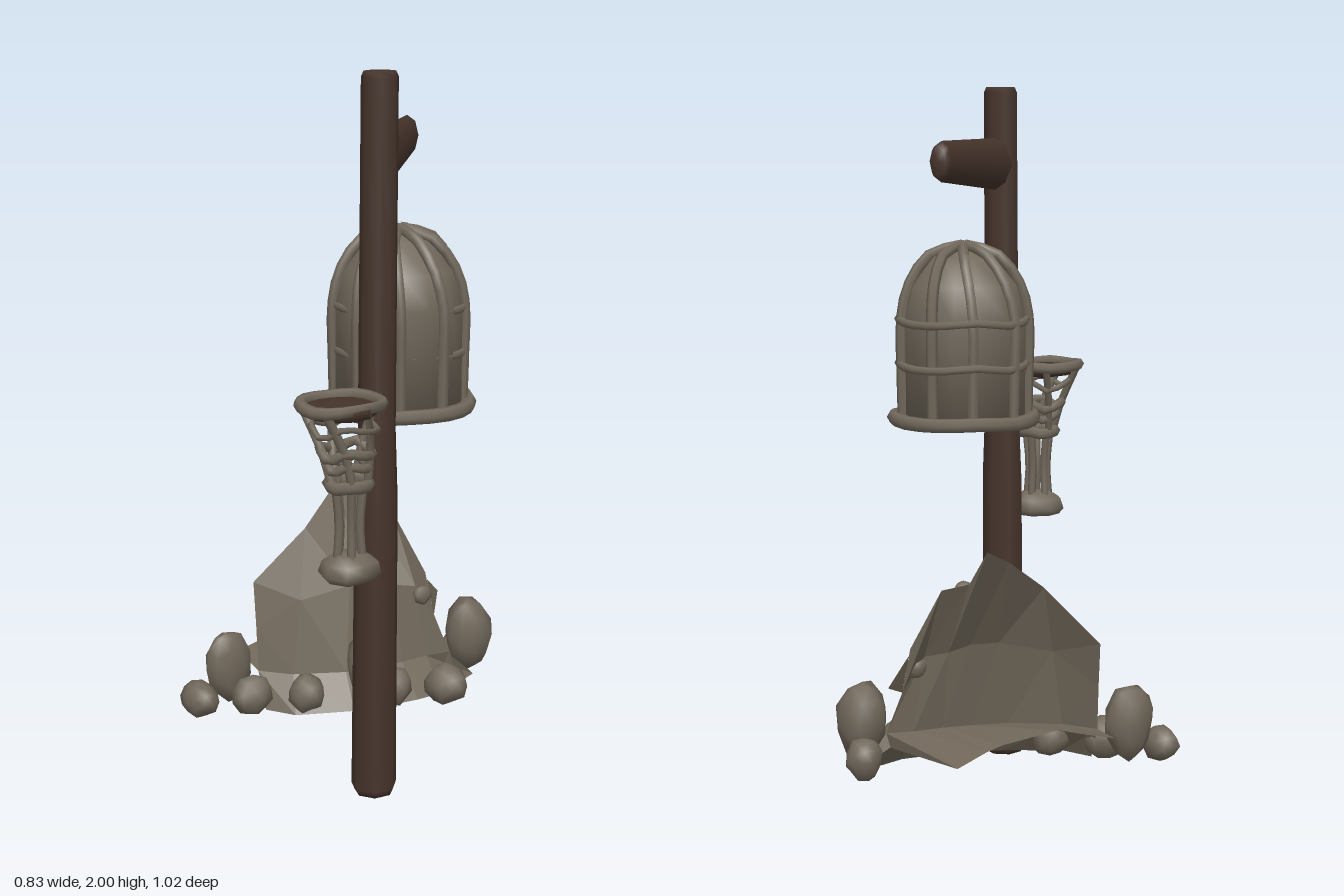
import * as THREE from 'three';
import { mergeVertices } from 'three/addons/utils/BufferGeometryUtils.js';

const V = (x, y, z) => new THREE.Vector3(x, y, z);

export function createModel() {
  const model = new THREE.Group();
  const stone = new THREE.MeshStandardMaterial({ color: 0x71685b });
  const stoneSheet = new THREE.MeshStandardMaterial({ color: 0x71685a, side: THREE.DoubleSide, flatShading: true });
  const wood = new THREE.MeshStandardMaterial({ color: 0x46342b });

  const add = (parent, name, geometry, material) => {
    const mesh = new THREE.Mesh(geometry, material);
    mesh.name = name;
    parent.add(mesh);
    return mesh;
  };
  const group = (name) => {
    const g = new THREE.Group();
    g.name = name;
    model.add(g);
    return g;
  };
  const lathe = (pts, sides) => new THREE.LatheGeometry(pts.map((p) => new THREE.Vector2(p[0], p[1])), sides);
  const tube = (pts, r, closed = false, steps = 10) =>
    new THREE.TubeGeometry(new THREE.CatmullRomCurve3(pts, closed), steps, r, 6, closed);
  // Slightly wobbly ring of points
  const ring = (cx, y, cz, r, wobble, n = 9) => Array.from({ length: n }, (_, i) => {
    const a = (i / n) * Math.PI * 2;
    return V(cx + Math.cos(a) * r, y + Math.sin(i * 2.3) * wobble, cz + Math.sin(a) * r);
  });

  // Leaning wooden post
  const postGeo = lathe([[0, 0], [0.055, 0], [0.064, 0.02], [0.06, 0.85], [0.052, 1.05],
    [0.05, 1.985], [0.043, 2], [0, 2]], 7);
  const pp = postGeo.attributes.position;
  for (let i = 0; i < pp.count; i++) pp.setX(i, pp.getX(i) + 0.011 * pp.getY(i));
  const post = add(model, 'post', postGeo, wood);
  post.position.set(0.243, 0, 0.193);

  // Arm tapering away from the post
  const armStart = V(0.262, 1.777, 0.19), armEnd = V(-0.04, 1.787, -0.185);
  const armDir = armStart.clone().sub(armEnd);
  const length = armDir.length();
  const armGeo = lathe([[0, 0], [0.042, 0], [0.056, 0.025], [0.076, length - 0.02], [0.06, length], [0, length]], 8);
  armGeo.scale(0.58, 1, 1);
  armGeo.rotateX(Math.PI / 2);
  const arm = add(model, 'arm', armGeo, wood);
  arm.position.copy(armEnd);
  arm.lookAt(armStart);

  // Domed cage: solid core, ribs, hoops and rim
  const cage = group('cage');
  cage.position.set(0.088, 0, -0.033);
  add(cage, 'cageCore', lathe([[0, 1.055], [0.18, 1.055], [0.18, 1.35], [0.155, 1.44], [0.09, 1.52], [0, 1.55]], 14), stone);
  for (let i = 0; i < 9; i++) {
    const a = (i / 9) * Math.PI * 2 + 0.12 * Math.sin(i * 3.1);
    const at = (r, y, twist = 0) => V(Math.cos(a + twist) * r, y, Math.sin(a + twist) * r);
    add(cage, 'cageRib', tube([at(0.18, 1.06), at(0.183, 1.2), at(0.183, 1.35), at(0.158, 1.445, 0.05),
      at(0.095, 1.527, 0.15), at(0.005, 1.552, 0.3)], 0.016, false, 12), stone);
  }
  add(cage, 'cageRim', tube(ring(0, 1.062, 0, 0.2, 0.003, 11), 0.021, true, 22), stone);
  for (const y of [1.215, 1.34]) {
    add(cage, 'cageHoop', tube(ring(-0.012, y, -0.012, 0.181, 0.006, 11), 0.012, true, 24), stone);
  }

  // Openwork cup on a stem, cut flat on its left side
  const cup = group('cup');
  const cutX = 0.415, cx = 0.355, cz = 0.38;
  const cut = (geo) => {
    const p = geo.attributes.position;
    for (let i = 0; i < p.count; i++) p.setX(i, Math.min(p.getX(i), cutX));
    return geo;
  };
  const cupPart = (name, geo, mat = stone) => add(cup, name, cut(geo), mat);
  cupPart('cupFoot', lathe([[0, 0.7], [0.07, 0.702], [0.085, 0.72], [0.075, 0.75], [0.04, 0.772], [0, 0.772]], 8)
    .translate(cx + 0.005, 0, cz));
  cupPart('cupCollar', tube(ring(cx, 0.96, cz, 0.052, 0.004), 0.018, true, 14));
  cupPart('cupRim', tube(ring(0.335, 1.168, 0.386, 0.108, 0.003), 0.017, true, 18));
  cupPart('cupBand', tube(ring(0.345, 1.045, cz, 0.068, 0.014), 0.014, true, 16));
  cupPart('cupLowerBand', tube(ring(0.35, 1.01, cz, 0.056, 0.012), 0.013, true, 16));
  cupPart('cupUpperBand', tube(ring(0.34, 1.11, 0.383, 0.087, 0.018), 0.009, true, 16));
  cupPart('cupFill', lathe([[0, 1.125], [0.09, 1.14], [0.1, 1.165], [0, 1.16]], 10).translate(0.335, 0, 0.386), wood);
  for (let i = 0; i < 5; i++) {
    const a = (i / 5) * Math.PI * 2 + 0.5;
    const at = (x, y, z, r, t = 0) => V(x + Math.cos(a + t) * r, y, z + Math.sin(a + t) * r);
    cupPart('stemBar', tube([at(cx, 0.75, cz, 0.036), at(cx, 0.85, cz, 0.029), at(cx, 0.97, cz, 0.04)], 0.012, false, 5));
    cupPart('bowlRib', tube([at(cx, 0.96, cz, 0.05), at(0.345, 1.05, cz, 0.066, 0.25), at(0.335, 1.165, 0.386, 0.105, 0.6)],
      0.012, false, 6));
  }

  // Broken curved slab: each column lists skirt, foot, middle, top and back wing points
  const columns = [
    [[-0.22, 0.1, 0.21], [-0.28, 0.2, 0.19], [-0.30, 0.33, 0.18], [-0.33, 0.46, 0.165], [-0.42, 0.215, 0.155]],
    [[-0.13, 0.1, 0.17], [-0.19, 0.2, 0.13], [-0.20, 0.42, 0.09], [-0.25, 0.62, 0.03], [-0.41, 0.235, 0.07]],
    [[-0.04, 0.1, 0.02], [-0.10, 0.2, 0.0], [-0.14, 0.45, -0.05], [-0.28, 0.71, -0.10], [-0.39, 0.255, -0.01]],
    [[0.0, 0.1, -0.1], [-0.07, 0.2, -0.1], [-0.12, 0.45, -0.13], [-0.30, 0.75, -0.18], [-0.28, 0.2, -0.12]],
    [[0.02, 0.1, -0.18], [-0.05, 0.2, -0.18], [-0.10, 0.43, -0.19], [-0.21, 0.645, -0.185], [-0.28, 0.19, -0.165]],
    [[0.03, 0.1, -0.27], [-0.04, 0.2, -0.27], [-0.07, 0.42, -0.25], [-0.18, 0.63, -0.255], [-0.32, 0.17, -0.285]],
    [[-0.02, 0.1, -0.45], [-0.02, 0.2, -0.345], [-0.05, 0.32, -0.31], [-0.08, 0.45, -0.30], [0.0, 0.16, -0.345]],
  ];
  const strip = (name, rows) => {
    const index = [], n = rows.length;
    for (let c = 0; c < columns.length - 1; c++) {
      for (let r = 0; r < n - 1; r++) {
        const a = c * n + r, b = a + n;
        index.push(a, b, a + 1, b, b + 1, a + 1);
      }
    }
    const geo = new THREE.BufferGeometry().setFromPoints(columns.flatMap((c) => rows.map((r) => V(...c[r]))));
    geo.setIndex(index);
    geo.computeVertexNormals();
    add(slab, name, geo, stoneSheet);
  };
  const slab = group('slab');
  strip('slabFace', [0, 1, 2, 3]);
  strip('slabBackWing', [1, 4]);
  const spike = new THREE.BufferGeometry().setFromPoints([V(-0.05, 0.32, -0.31), V(-0.12, 0.36, -0.39), V(-0.075, 0.43, -0.302)]);
  spike.computeVertexNormals();
  add(slab, 'slabSpike', spike, stoneSheet);

  // Rounded irregular stones: x, y, z, then radii
  const rocks = [
    [-0.10, 0.165, -0.455, 0.045, 0.06, 0.05], [-0.01, 0.25, -0.415, 0.068, 0.112, 0.072],
    [0.07, 0.148, -0.25, 0.064, 0.06, 0.064], [-0.02, 0.15, -0.115, 0.058, 0.06, 0.058],
    [-0.01, 0.25, 0.0, 0.06, 0.1, 0.056], [-0.14, 0.152, 0.12, 0.05, 0.058, 0.055],
    [-0.23, 0.155, 0.25, 0.05, 0.06, 0.066], [-0.33, 0.225, 0.265, 0.05, 0.11, 0.072],
    [-0.33, 0.145, 0.372, 0.063, 0.052, 0.05],
    [-0.172, 0.62, -0.182, 0.023, 0.026, 0.03], [-0.06, 0.39, -0.27, 0.021, 0.03, 0.032],
  ];
  rocks.forEach(([x, y, z, rx, ry, rz], k) => {
    let geo = new THREE.IcosahedronGeometry(1, 1);
    geo.deleteAttribute('normal');
    geo.deleteAttribute('uv');
    geo = mergeVertices(geo, 1e-3);
    const p = geo.attributes.position;
    for (let i = 0; i < p.count; i++) {
      const s = 1.01 + 0.09 * Math.sin(i * 2.7 + k * 1.9);
      p.setXYZ(i, p.getX(i) * s * rx, p.getY(i) * s * ry, p.getZ(i) * s * rz);
    }
    geo.computeVertexNormals();
    add(model, k < 9 ? 'rock' : 'slabKnob', geo, stone).position.set(x, y, z);
  });

  return model;
}
